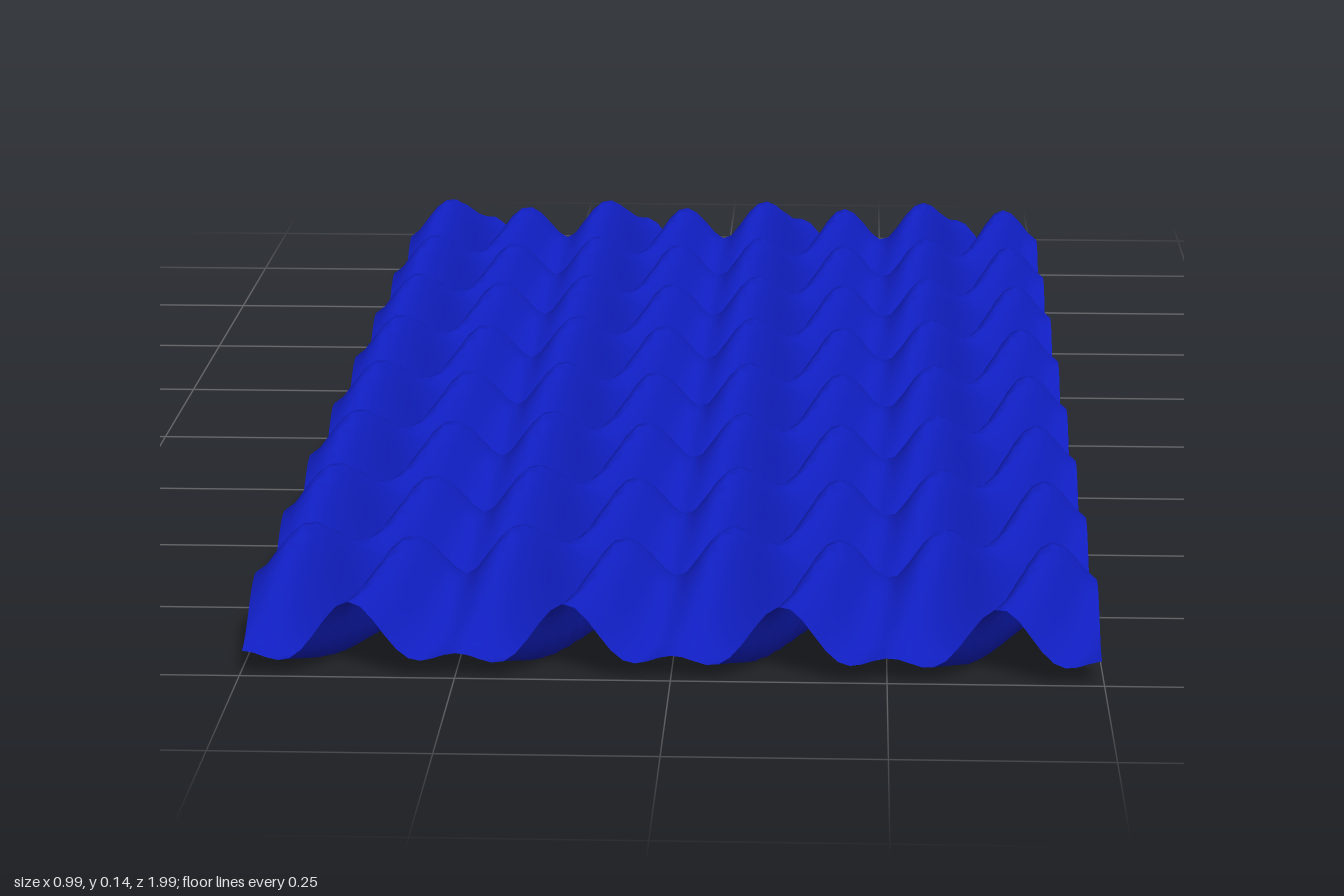
import * as THREE from 'three';

const CELL = 0.25; // the wave pattern repeats every quarter unit in x and z

// Height of the water: crossing wave trains, measured from a trough centre
function waveHeight(x, z) {
  const p = ((x - CELL / 2) / CELL) * Math.PI * 2;
  const q = ((z - CELL / 2) / CELL) * Math.PI * 2;
  return 0.064
    - 0.006 * Math.cos(p)
    + 0.021 * Math.cos(q)
    - 0.0365 * Math.cos(p + q)
    - 0.030 * Math.cos(2 * p + q)
    - 0.013 * Math.cos(2 * p);
}

// One thin square tile of rippled water
function makeTile(width, depth, centreZ) {
  const geometry = new THREE.PlaneGeometry(width, depth, 72, 72);
  geometry.rotateX(-Math.PI / 2);
  geometry.translate(0, 0, centreZ);
  const pos = geometry.attributes.position;
  for (let i = 0; i < pos.count; i++) {
    pos.setY(i, Math.max(0, waveHeight(pos.getX(i), pos.getZ(i))));
  }
  geometry.computeVertexNormals();
  return geometry;
}

export function createModel() {
  const group = new THREE.Group();
  group.name = 'rippledWater';
  const water = new THREE.MeshStandardMaterial({ color: 0x101ec0, side: THREE.DoubleSide });

  // Two matching tiles, front and back
  for (const [name, side] of [['frontWaterTile', 1], ['backWaterTile', -1]]) {
    const tile = new THREE.Mesh(makeTile(0.993, 0.997, side * 0.4985), water);
    tile.name = name;
    group.add(tile);
  }
  return group;
}
